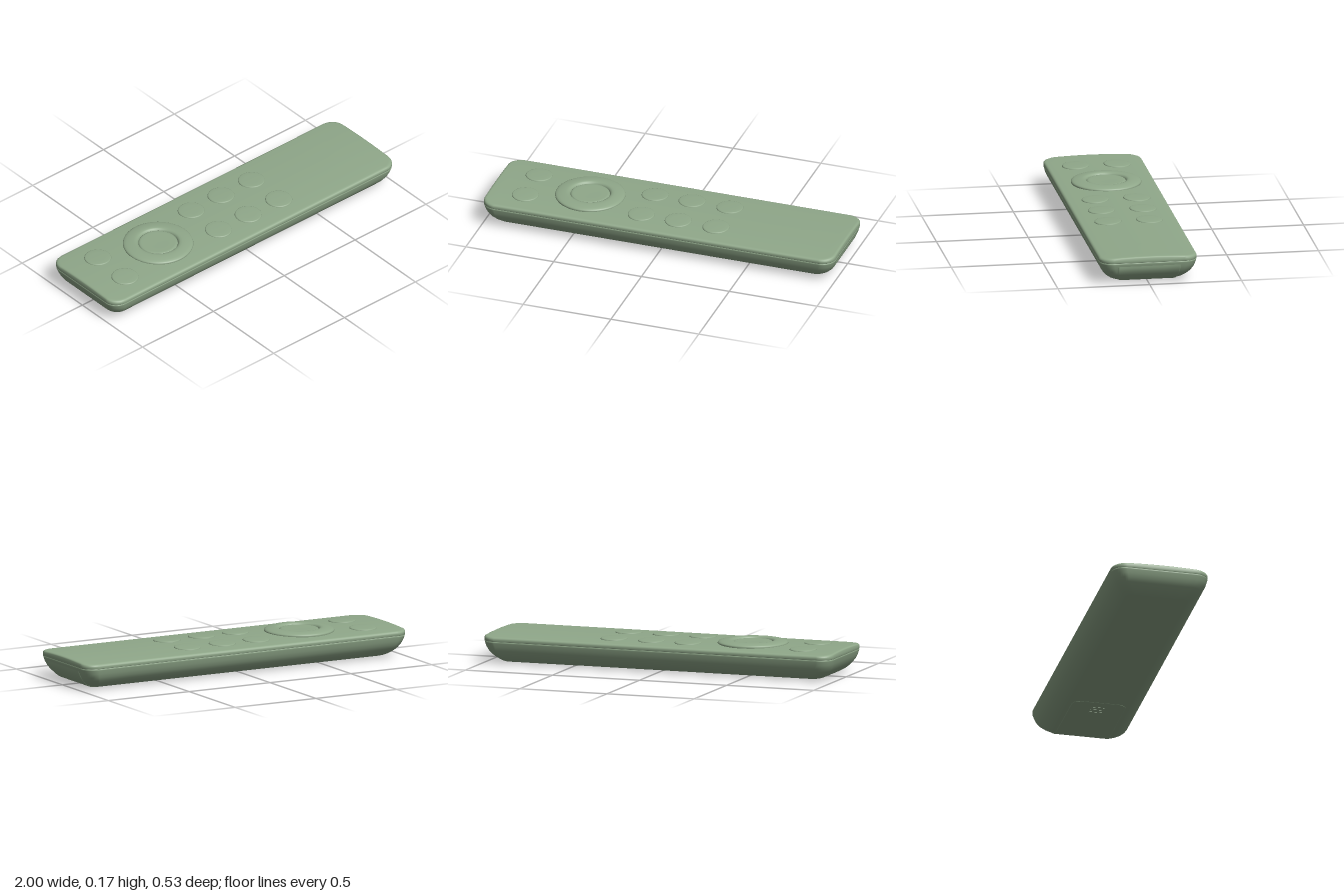
import * as THREE from 'three';

const HX = 1, HZ = 0.267;
// Crowned height of the top face across its width
const crown = (z) => 0.157 - 0.009 * (z / HZ) ** 2;

// Shell profile from the underside to the rim: [inset, y]
const SIDE = [
  [0.115, 0.004], [0.1, 0.0055], [0.085, 0.01], [0.066, 0.02], [0.047, 0.035], [0.03, 0.053],
  [0.017, 0.073], [0.008, 0.094], [0.002, 0.115], [0.001, 0.12], [0.003, 0.122],
  [0.003, 0.1235], [0.001, 0.1255], [0, 0.135]
];
// Rim and top: [inset, drop below crown]
const TOP = [[0.001, 0.008], [0.004, 0.0035], [0.009, 0.001], [0.016, 0], [0.06, 0], [0.11, 0], [0.16, 0], [0.21, 0], [HZ, 0]];

// Rounded rectangle outline, running from +x towards +z
function outline(inset) {
  const hx = HX - inset, hz = HZ - inset;
  const r = Math.min(0.075 - 0.25 * inset, hz);
  const pts = [];
  const corners = [[1, 1, 0], [-1, 1, 1], [-1, -1, 2], [1, -1, 3]];
  for (const [sx, sz, q] of corners) {
    for (let i = 0; i <= 10; i++) {
      const a = (q + i / 10) * Math.PI / 2;
      pts.push([sx * (hx - r) + r * Math.cos(a), sz * (hz - r) + r * Math.sin(a)]);
    }
    // extra points along the straight edge to the next corner
    const next = corners[(q + 1) % 4], a = (q + 1) * Math.PI / 2;
    const p = pts[pts.length - 1];
    const e = [next[0] * (hx - r) + r * Math.cos(a), next[1] * (hz - r) + r * Math.sin(a)];
    for (let i = 1; i < 10; i++) pts.push([p[0] + (e[0] - p[0]) * i / 10, p[1] + (e[1] - p[1]) * i / 10]);
  }
  return pts;
}

// Skin a list of rows of points; wrap closes each row into a ring
function skin(rows, wrap) {
  const n = rows[0].length, index = [];
  for (let i = 0; i < rows.length - 1; i++) {
    for (let j = 0; j < (wrap ? n : n - 1); j++) {
      const a = i * n + j, b = i * n + (j + 1) % n, c = a + n, d = b + n;
      index.push(a, c, b, b, c, d);
    }
  }
  const g = new THREE.BufferGeometry();
  g.setAttribute('position', new THREE.Float32BufferAttribute(rows.flat(2), 3));
  g.setIndex(index);
  g.computeVertexNormals();
  return g;
}

function bodyGeometry() {
  const rows = [[HZ, 0.004], [0.14, 0.004], ...SIDE].map(([s, y]) => outline(s).map(([x, z]) => [x, y, z]));
  for (const [s, d] of TOP) rows.push(outline(s).map(([x, z]) => [x, crown(z) - d, z]));
  return skin(rows, true);
}

// Battery door: a thin panel that wraps from the underside up the end
function doorGeometry() {
  const path = [];
  for (const [x, w] of [[0.468, 0.11], [0.47, 0.115], [0.478, 0.132], [0.49, 0.144], [0.51, 0.15], [0.7, 0.15]]) path.push([x, 0.004, w]);
  for (const [s, y] of SIDE.slice(0, 9)) path.push([HX - s, y, 0.15 + 0.02 * Math.min(1, y / 0.06)]);
  const last = path.length - 1;
  const cols = [-1, -0.985, -0.96, -0.5, 0, 0.5, 0.96, 0.985, 1];
  const rows = path.map(([x, y, w], i) => {
    const p = path[Math.max(0, i - 1)], q = path[Math.min(last, i + 1)];
    const dx = q[0] - p[0], dy = q[1] - p[1], l = Math.hypot(dx, dy);
    return cols.map((t, j) => {
      const edge = i === 0 || i === last || j === 0 || j === cols.length - 1;
      const o = edge ? -0.003 : 0.0025;
      return [x + o * dy / l, y - o * dx / l, t * w];
    });
  });
  return skin(rows, false);
}

// Lathe from [radius, y] pairs listed from the outside in
function turned(points, segments) {
  return new THREE.LatheGeometry(points.map(([r, y]) => new THREE.Vector2(r, y)), segments);
}

export function createModel() {
  const group = new THREE.Group();
  group.name = 'remoteControl';
  const sage = new THREE.MeshStandardMaterial({ color: 0x90a88a });
  sage.name = 'sage green';

  const add = (name, geometry, x = 0, y = 0, z = 0) => {
    const m = new THREE.Mesh(geometry, sage);
    m.name = name;
    m.position.set(x, y, z);
    group.add(m);
    return m;
  };

  add('body', bodyGeometry());
  add('batteryDoor', doorGeometry());

  // Thumb grip on the battery door
  for (let i = 0; i < 3; i++) add('doorGrip', new THREE.BoxGeometry(0.012, 0.004, 0.07), 0.53 + i * 0.03, 0.002, 0);

  // Direction ring with a dished centre button
  add('directionRing', turned([
    [0.188, 0.15], [0.19, 0.158], [0.188, 0.163], [0.182, 0.167], [0.17, 0.1705], [0.15, 0.1735],
    [0.132, 0.175], [0.12, 0.1742], [0.112, 0.171], [0.108, 0.165], [0.106, 0.16]
  ], 64), -0.465);
  add('centreButton', turned([
    [0.107, 0.158], [0.105, 0.164], [0.1, 0.167], [0.09, 0.168], [0.05, 0.1675], [0, 0.167]
  ], 64), -0.465);

  // Round buttons in mirrored pairs, tilted to follow the crown
  const button = turned([[0.074, -0.008], [0.073, 0.001], [0.071, 0.004], [0.066, 0.0058], [0.04, 0.0068], [0, 0.007]], 40);
  for (const x of [-0.795, -0.135, 0.075, 0.29]) {
    for (const side of [-1, 1]) {
      const z = side * 0.113;
      add('button', button, x, crown(z), z).rotation.x = side * 0.028;
    }
  }
  return group;
}
